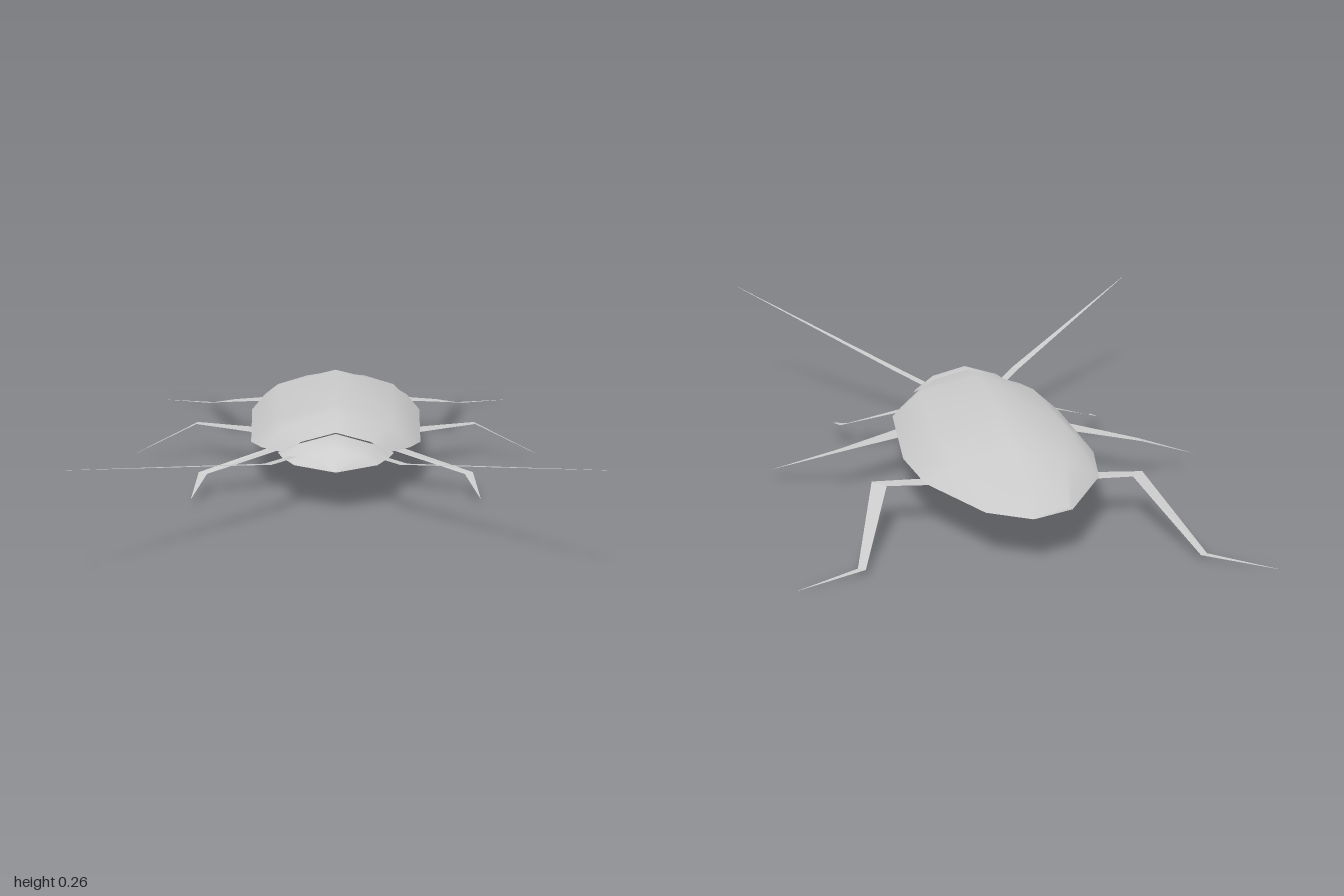
import * as THREE from 'three';

const shellGrey = new THREE.MeshStandardMaterial({ color: 0xcccccc, side: THREE.DoubleSide });
shellGrey.name = 'shell grey';

function makeMesh(name, positions, indices, flat) {
  let geometry = new THREE.BufferGeometry();
  geometry.setAttribute('position', new THREE.Float32BufferAttribute(positions, 3));
  geometry.setIndex(indices);
  if (flat) geometry = geometry.toNonIndexed();
  geometry.computeVertexNormals();
  const mesh = new THREE.Mesh(geometry, shellGrey);
  mesh.name = name;
  return mesh;
}

// Open-bottomed shell lofted through arched sections:
// [z, rim half width, rim y, shoulder half width, shoulder y, ridge y]
function shell(name, sections) {
  const positions = [], indices = [];
  sections.forEach(([z, w, wy, s, sy, top], i) => {
    positions.push(-w, wy, z, -s, sy, z, 0, top, z, s, sy, z, w, wy, z);
    if (i === 0) return;
    for (let j = 0; j < 4; j++) {
      const a = (i - 1) * 5 + j, b = i * 5 + j;
      indices.push(a, b, b + 1, a, b + 1, a + 1);
    }
  });
  return makeMesh(name, positions, indices, false);
}

// Flat tapering strip along a jointed path of [x, y, z, width]
function ribbon(name, path, side) {
  const points = path.map(([x, y, z]) => new THREE.Vector3(x * side, y, z));
  const heading = (i) => new THREE.Vector2(points[i + 1].x - points[i].x, points[i + 1].z - points[i].z).normalize();
  const positions = [], indices = [];
  points.forEach((p, i) => {
    const before = heading(Math.max(i - 1, 0));
    const after = heading(Math.min(i, points.length - 2));
    const along = before.clone().add(after).normalize();
    // mitre the joint so the strip keeps its width round a bend
    const half = path[i][3] / 2 / Math.max(along.dot(after), 0.6);
    const nx = along.y * half, nz = -along.x * half;
    positions.push(p.x - nx, p.y, p.z - nz, p.x + nx, p.y, p.z + nz);
    if (i > 0) {
      const r = (i - 1) * 2;
      indices.push(r, r + 2, r + 3, r, r + 3, r + 1);
    }
  });
  return makeMesh(name, positions, indices, true);
}

export function createModel() {
  const model = new THREE.Group();
  model.name = 'insect';

  // Long faceted back, tail to neck
  model.add(shell('body', [
    [-0.89, 0.002, 0.1, 0.001, 0.1, 0.101],
    [-0.83, 0.095, 0.1, 0.085, 0.107, 0.115],
    [-0.59, 0.2, 0.1, 0.125, 0.14, 0.166],
    [-0.38, 0.228, 0.1, 0.157, 0.17, 0.21],
    [0.02, 0.215, 0.1, 0.147, 0.16, 0.2],
    [0.1, 0.185, 0.104, 0.125, 0.157, 0.195],
    [0.22, 0.125, 0.118, 0.085, 0.145, 0.168],
  ]));

  // Head with a raised collar and pointed snout
  model.add(shell('head', [
    [0.205, 0.142, 0.115, 0.1, 0.135, 0.15],
    [0.25, 0.13, 0.113, 0.085, 0.148, 0.172],
    [0.3, 0.1, 0.106, 0.062, 0.128, 0.143],
    [0.35, 0.002, 0.1, 0.001, 0.1, 0.101],
  ]));

  // Paired limbs, described for the left side: x, y, z, width
  const limbs = {
    antenna: [[0.1, 0.12, 0.265, 0.022], [0.16, 0.13, 0.39, 0.022], [0.58, 0.26, 0.99, 0.001]],
    frontLeg: [[0.14, 0.105, 0.1, 0.05], [0.33, 0.05, 0.15, 0.024], [0.35, 0.02, 0.285, 0.001]],
    middleLeg: [[0.17, 0.1, -0.105, 0.07], [0.37, 0.09, -0.25, 0.022], [0.53, 0.025, -0.165, 0.001]],
    hindLeg: [[0.15, 0.095, -0.56, 0.06], [0.3, 0.09, -0.545, 0.038], [0.37, 0.01, -0.905, 0.018], [0.51, 0, -0.995, 0.001]],
  };
  for (const [name, path] of Object.entries(limbs)) {
    const pair = new THREE.Group();
    pair.name = name + 'Pair';
    pair.add(ribbon(name + 'Left', path, 1), ribbon(name + 'Right', path, -1));
    model.add(pair);
  }

  return model;
}
